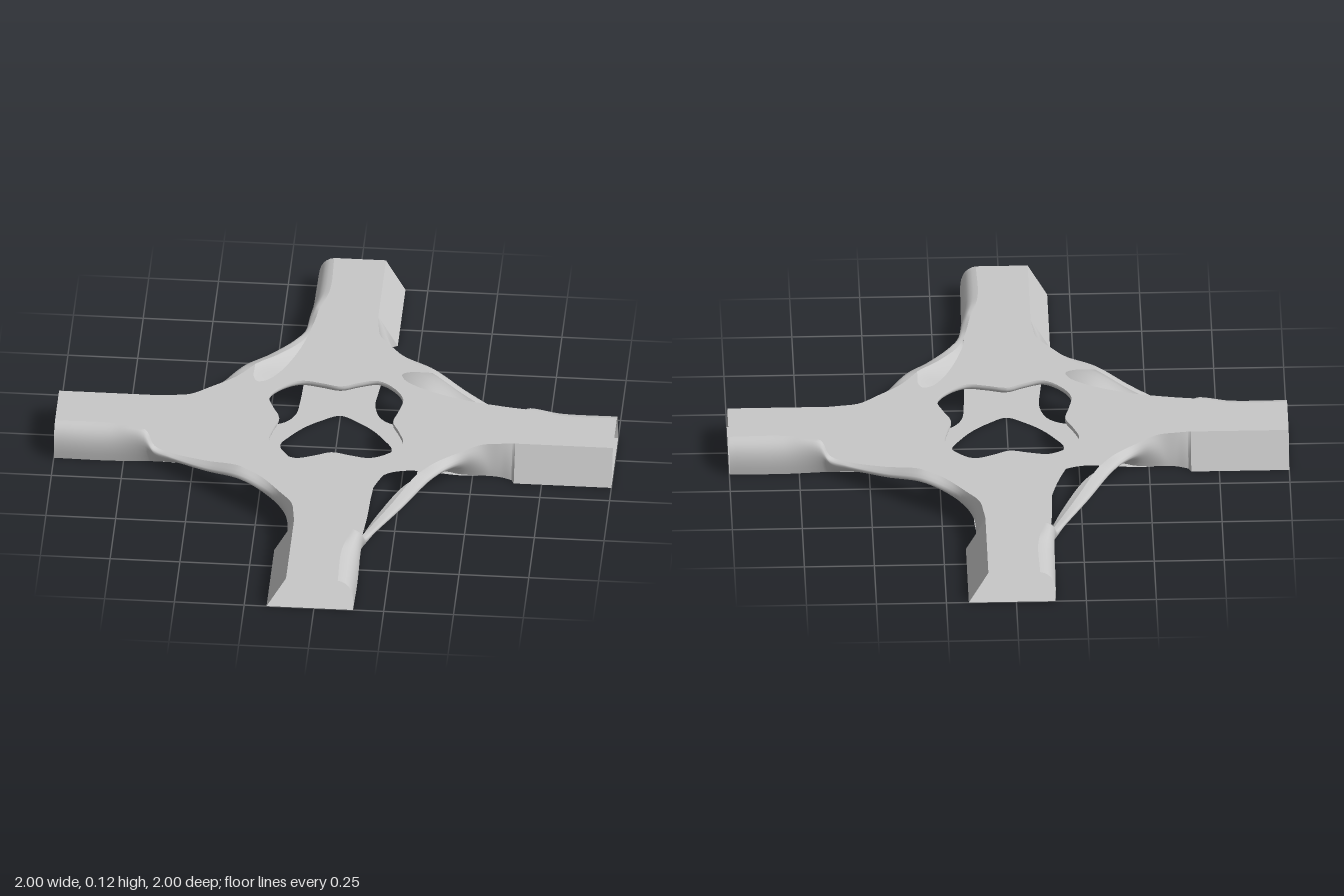
import * as THREE from 'three';

const TOP = 0.125;
const V = (x, y, z) => new THREE.Vector3(x, y, z);
const steel = new THREE.MeshStandardMaterial({ color: 0xc8c8c8, side: THREE.DoubleSide });
steel.name = 'plain grey';

// Smooth open curve through points
const smooth = (pts, n) => new THREE.CatmullRomCurve3(pts).getPoints(n);

// Quarter turn that maps the +z arm onto the +x arm
function turn(p, q) {
  let { x, z } = p;
  for (let i = 0; i < q; i++) [x, z] = [z, -x];
  return V(x, p.y, z);
}
const allRound = (pts) => [0, 1, 2, 3].flatMap((q) => pts.map((p) => turn(p, q)));
const flat = (pts) => pts.map((p) => new THREE.Vector2(p.x, -p.z));

// Horizontal sheet with one central hole
function sheet(outline, hole, y, name) {
  const shape = new THREE.Shape(flat(outline));
  shape.holes.push(new THREE.Path(flat(hole)));
  const geo = new THREE.ShapeGeometry(shape);
  geo.rotateX(-Math.PI / 2).translate(0, y, 0);
  const mesh = new THREE.Mesh(geo, steel);
  mesh.name = name;
  return mesh;
}

// Curved strip: each station bends from a to c with control point b
function strip(a, b, c, name, rows = 8) {
  const pos = [], idx = [];
  a.forEach((p, i) => {
    const bend = new THREE.QuadraticBezierCurve3(p, b[i], c[i]);
    bend.getPoints(rows).forEach((v) => pos.push(v.x, Math.min(TOP, Math.max(0, v.y)), v.z));
  });
  const w = rows + 1;
  for (let i = 0; i < a.length - 1; i++) {
    for (let j = 0; j < rows; j++) {
      const k = i * w + j;
      idx.push(k, k + 1, k + w, k + 1, k + w + 1, k + w);
    }
  }
  const geo = new THREE.BufferGeometry();
  geo.setAttribute('position', new THREE.Float32BufferAttribute(pos, 3));
  geo.setIndex(idx);
  geo.computeVertexNormals();
  const mesh = new THREE.Mesh(geo, steel);
  mesh.name = name;
  return mesh;
}

export function createModel() {
  const model = new THREE.Group();
  model.name = 'fourArmNode';

  // Wall stations from the +z arm end to the +x arm, each edge / control / lower as x,y,z.
  // The strut leaves the rounded wall low and rises to the slanted arm.
  const stations = [
    [0.085, TOP, 1, 0.15, 0.115, 1, 0.14, 0, 1],
    [0.085, TOP, 0.8, 0.155, 0.115, 0.8, 0.142, 0, 0.8],
    [0.115, TOP, 0.675, 0.17, 0.115, 0.685, 0.134, 0, 0.66],
    [0.135, 0.07, 0.64, 0.185, 0.065, 0.645, 0.134, 0, 0.62],
    [0.16, 0.06, 0.58, 0.235, 0.07, 0.585, 0.136, 0, 0.55],
    [0.235, 0.085, 0.45, 0.335, 0.08, 0.46, 0.19, 0.025, 0.42],
    [0.315, TOP, 0.32, 0.425, 0.105, 0.335, 0.28, 0.065, 0.29],
    [0.375, TOP, 0.24, 0.475, 0.1, 0.235, 0.39, 0.045, 0.18],
    [0.465, TOP, 0.165, 0.51, 0.08, 0.16, 0.46, 0.005, 0.135],
    [0.53, TOP, 0.118, 0.55, 0.06, 0.13, 0.55, 0, 0.13],
    [0.6, TOP, 0.105, 0.6, 0.065, 0.12, 0.6, 0, 0.135],
    [0.64, TOP, 0.1, 0.64, 0.065, 0.125, 0.64, 0, 0.15],
  ];
  const STEP = 8, LAST = STEP * (stations.length - 1);
  const [edge, mid, low] = [0, 3, 6].map((o) =>
    smooth(stations.map((s) => V(s[o], s[o + 1], s[o + 2])), LAST));

  // Straight slanted face at the arm's end
  const slant = [0.65, 1];
  const slantTop = slant.map((x) => V(x, TOP, 0.1));
  const slantMid = slant.map((x) => V(x, TOP / 2, 0.135));
  const slantLow = slant.map((x) => V(x, 0, 0.17));

  // Inner edge of the long slot between upper sheet and strut
  const slotEdge = smooth([[0.118, 0.65], [0.125, 0.6], [0.15, 0.47], [0.185, 0.36], [0.225, 0.275],
    [0.265, 0.225], [0.298, 0.215], [0.314, 0.245], [0.315, 0.3],
  ].map(([x, z]) => V(x, TOP, z)), 48);
  const topEdge = [...edge.slice(0, 2 * STEP + 1), ...slotEdge, ...edge.slice(6 * STEP), ...slantTop];

  // Central openings, top one larger and twisted
  const ring = (pts) => new THREE.CatmullRomCurve3(
    allRound(pts.map(([x, z]) => V(x, 0, z))), true).getPoints(96);
  const topHole = ring([[0, 0.205], [0.07, 0.22], [0.14, 0.23], [0.205, 0.195], [0.25, 0.13], [0.23, 0.06]]);
  const lowHole = ring([[0, 0.2], [0.065, 0.165], [0.12, 0.12], [0.165, 0.065]]);

  // Lower sheet outline: arm edges meeting in a tight corner near the middle
  const lowArm = smooth([[0.14, 1], [0.142, 0.8], [0.134, 0.66], [0.136, 0.55], [0.145, 0.42], [0.15, 0.28],
    [0.16, 0.195], [0.195, 0.145], [0.27, 0.12], [0.36, 0.125], [0.46, 0.135], [0.55, 0.13], [0.6, 0.135],
    [0.64, 0.15],
  ].map(([x, z]) => V(x, 0, z)), 104);

  model.add(sheet(allRound(topEdge), topHole.slice(0, -1), TOP, 'topSheet'));
  model.add(sheet(allRound([...lowArm, ...slantLow]), lowHole.slice(0, -1), 0, 'bottomSheet'));

  // Rolled lip round the upper opening
  const lift = (scale, y) => topHole.map((p) => V(p.x * scale, y, p.z * scale));
  model.add(strip(lift(1, TOP), lift(0.97, 0.11), lift(1.04, 0.1), 'centreLip'));

  for (let q = 0; q < 4; q++) {
    const quarter = new THREE.Group();
    quarter.name = 'quarter' + (q + 1);
    quarter.rotation.y = (q * Math.PI) / 2;
    quarter.add(strip(edge, mid, low, 'roundedWallAndStrut'));
    quarter.add(strip(slantTop, slantMid, slantLow, 'slantedArmFace', 1));
    // Step between the strut wall and the slanted face
    quarter.add(strip([edge[LAST], slantTop[0]], [mid[LAST], slantMid[0]], [low[LAST], slantLow[0]], 'armStep', 2));
    model.add(quarter);
  }
  return model;
}
